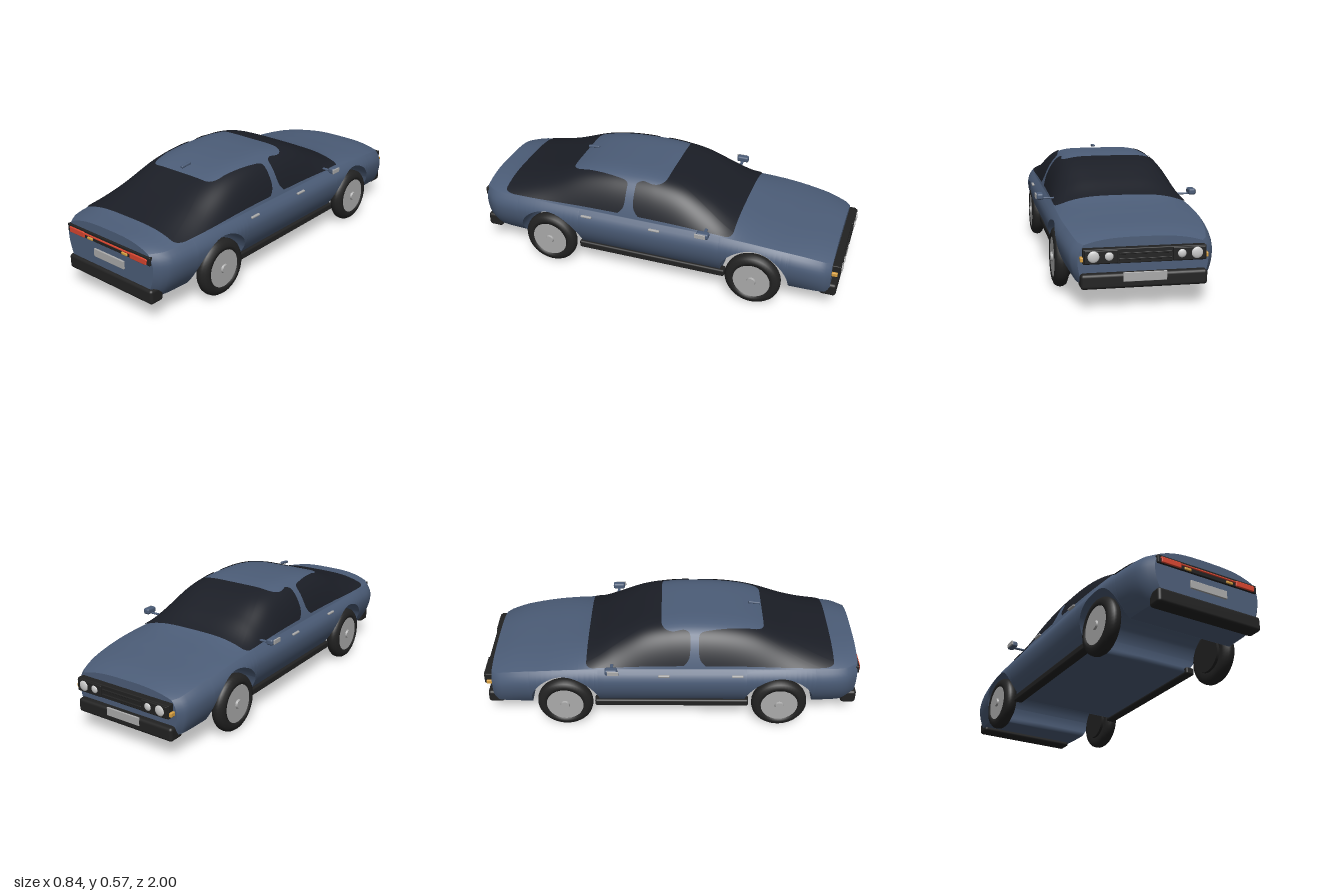
import * as THREE from 'three';
import { RoundedBoxGeometry } from 'three/addons/geometries/RoundedBoxGeometry.js';

const mat = (color, side = THREE.FrontSide) =>
  new THREE.MeshStandardMaterial({ color, side });
const PAINT = mat(0x4c5d78, THREE.DoubleSide), GLASS = mat(0x1b1e26, THREE.DoubleSide);
const BLACK = mat(0x222222), RED = mat(0xd8452f), AMBER = mat(0xd9a03f), GREY = mat(0xaaaaaa), LAMP = mat(0xe8e8e8);

// Smooth interpolation through [z, value] pairs
function curve(pts) {
  const slope = i => {
    const a = pts[Math.max(i - 1, 0)], b = pts[Math.min(i + 1, pts.length - 1)];
    return (b[1] - a[1]) / (b[0] - a[0]);
  };
  return z => {
    let i = 0;
    while (i < pts.length - 2 && z > pts[i + 1][0]) i++;
    const [z0, a] = pts[i], [z1, b] = pts[i + 1], h = z1 - z0;
    const t = Math.min(1, Math.max(0, (z - z0) / h)), t2 = t * t, t3 = t2 * t;
    return a * (2 * t3 - 3 * t2 + 1) + b * (3 * t2 - 2 * t3)
      + h * (slope(i) * (t3 - 2 * t2 + t) + slope(i + 1) * (t3 - t2));
  };
}

// Body lines along the length: centre height, shoulder height, half width
const topY = curve([[-0.95, 0.325], [-0.85, 0.35], [-0.65, 0.375], [-0.45, 0.41], [-0.3, 0.48], [-0.15, 0.54],
  [0, 0.565], [0.12, 0.57], [0.3, 0.562], [0.45, 0.535], [0.65, 0.465], [0.85, 0.41], [0.98, 0.395]]);
const beltY = curve([[-0.95, 0.295], [-0.8, 0.33], [-0.5, 0.36], [0, 0.365], [0.6, 0.368], [0.98, 0.355]]);
const halfW = curve([[-0.95, 0.3], [-0.92, 0.325], [-0.8, 0.352], [-0.6, 0.37], [0, 0.373],
  [0.6, 0.375], [0.8, 0.362], [0.92, 0.34], [0.98, 0.295]]);
const AXLES = [-0.56, 0.575], ARCH = 0.18, WHEEL_Y = 0.147;

function floorY(z) {
  for (const c of AXLES) {
    const d = Math.abs(z - c);
    if (d < ARCH + 0.0005) return WHEEL_Y + Math.sqrt(Math.max(0, ARCH * ARCH - d * d));
  }
  return 0.12;
}
function sideX(y, z) {
  const d = beltY(z) - 0.07 - y;
  return halfW(z) * (1 - (d < 0 ? 0.093 * (d / 0.07) ** 2 : 0.2 * (d / 0.17) ** 2));
}
// Point on the upper surface, u = -1..1 between the shoulders
function upper(u, z, lift = 0) {
  const b = beltY(z), rise = topY(z) - b;
  const p = 2.5 + 3.5 * Math.min(1, rise / 0.2);
  const x = u * sideX(b, z);
  return [x + lift * u ** 3, b + rise * (1 - Math.abs(u) ** p) + lift, z];
}

// Surface from rows of points
function skin(rows) {
  const n = rows[0].length, idx = [];
  for (let i = 0; i < rows.length - 1; i++)
    for (let j = 0; j < n - 1; j++) {
      const a = i * n + j, b = a + n;
      idx.push(a, b, a + 1, b, b + 1, a + 1);
    }
  const g = new THREE.BufferGeometry();
  g.setAttribute('position', new THREE.Float32BufferAttribute(rows.flat(2), 3));
  g.setIndex(idx);
  g.computeVertexNormals();
  return g;
}

// Half outline from the sill up to the shoulder, then over the top to the other sill
function section(z) {
  const b = beltY(z), f = floorY(z), pts = [], NS = 12, NT = 40;
  const side = s => {
    const out = [];
    for (let i = 0; i < NS; i++) {
      const y = f + (b - f) * i / NS;
      out.push([s * sideX(y, z), y, z]);
    }
    return out;
  };
  pts.push(...side(-1));
  for (let i = 0; i <= NT; i++) pts.push(upper(Math.sin((i / NT - 0.5) * Math.PI), z));
  pts.push(...side(1).reverse());
  return pts;
}

// Wrap-round glass between an outer and an inner U-shaped line, in (u, z)
function wrapGlass(zPillar, zEnd, cornerZ, inner) {
  const dir = Math.sign(zEnd - zPillar);
  const U = (u0, u1, z0, z1, z2, cu) => {
    const path = new THREE.Path().moveTo(u0, z0);
    path.lineTo(u1, z1).quadraticCurveTo(u1, z2, cu, z2).lineTo(-cu, z2)
      .quadraticCurveTo(-u1, z2, -u1, z1).lineTo(-u0, z0);
    const N = 20, pts = [];
    path.curves.forEach((c, k) => {
      for (let i = k ? 1 : 0; i <= N; i++) pts.push(c.getPoint(i / N));
    });
    return pts;
  };
  const o = U(0.985, 0.985, zPillar, cornerZ, zEnd, 0.88);
  const n = U(...inner);
  const rows = o.map((p, i) => {
    const row = [], end = Math.max(0, 1 - Math.min(i, o.length - 1 - i) / 20);
    for (let k = 0; k <= 20; k++) {
      const f = k / 20;
      const q = p.clone().lerp(n[i], f);
      // rounded corners beside the pillar
      row.push(upper(q.x, q.y + dir * end * 0.035 * (2 * f - 1) ** 6, 0.004));
    }
    return row;
  });
  return skin(rows);
}

export function createModel() {
  const car = new THREE.Group();
  const add = (name, geo, m, x = 0, y = 0, z = 0, parent = car) => {
    const mesh = new THREE.Mesh(geo, m);
    mesh.name = name;
    mesh.position.set(x, y, z);
    parent.add(mesh);
    return mesh;
  };
  const box = (name, w, h, d, m, x, y, z, r = 0.004) =>
    add(name, new RoundedBoxGeometry(w, h, d, 3, r), m, x, y, z);

  // Body shell, underside with wheel arches, and end panels
  const zs = [];
  for (let i = 0; i <= 70; i++) zs.push(-0.95 + 1.93 * i / 70);
  for (const c of AXLES) {
    for (let i = 0; i <= 28; i++) zs.push(c + ARCH * Math.cos(i * Math.PI / 28));
    zs.push(c - ARCH - 0.001, c + ARCH + 0.001);
  }
  zs.sort((a, b) => a - b);
  const rows = zs.map(section);
  add('bodyShell', skin(rows), PAINT);
  add('underside', skin(rows.map(r => {
    const [x, y, z] = r[r.length - 1];
    return [[x, y, z], [0, y, z], [-x, y, z]];
  })), PAINT);
  for (const [name, r] of [['nosePanel', rows[0]], ['tailPanel', rows[rows.length - 1]]]) {
    const loop = [...r, r[0]];
    const hub = loop.map(p => [0, 0.25, p[2]]);
    add(name, skin(name === 'nosePanel' ? [loop, hub] : [hub, loop]), PAINT);
  }

  // Windscreen and rear window, each running into the side windows
  add('frontGlass', wrapGlass(0.1, -0.44, -0.4, [0.7, 0.72, 0.1, 0.02, -0.05, 0.5]), GLASS);
  add('rearGlass', wrapGlass(0.145, 0.85, 0.78, [0.72, 0.62, 0.145, 0.4, 0.485, 0.46]), GLASS);

  // Bumpers
  box('rearBumper', 0.58, 0.075, 0.08, BLACK, 0, 0.138, 0.955, 0.015);
  box('frontBumper', 0.58, 0.07, 0.085, BLACK, 0, 0.132, -0.94, 0.015);

  // Tail panel
  box('tailLampPanel', 0.57, 0.042, 0.02, BLACK, 0, 0.324, 0.98);
  box('tailLampStrip', 0.54, 0.009, 0.016, RED, 0, 0.328, 0.988, 0.003);
  box('rearPlate', 0.207, 0.042, 0.012, GREY, 0, 0.244, 0.983, 0.002);
  // Nose
  box('grille', 0.56, 0.068, 0.045, BLACK, 0, 0.248, -0.962);
  for (const dy of [-0.014, 0.012]) box('grilleBar', 0.24, 0.008, 0.012, BLACK, 0, 0.248 + dy, -0.985, 0.002);
  box('frontPlate', 0.2, 0.042, 0.01, GREY, 0, 0.15, -0.981, 0.002);
  // Roof aerial
  box('aerial', 0.016, 0.014, 0.065, PAINT, 0, 0.556, 0.445, 0.005).rotation.x = 0.1;

  // Tyre and wheel profiles
  const tyre = new THREE.LatheGeometry([[0.09, -0.033], [0.115, -0.036], [0.135, -0.028], [0.145, -0.014],
    [0.147, 0], [0.145, 0.014], [0.135, 0.028], [0.115, 0.036], [0.098, 0.033], [0.096, 0.02]]
    .map(p => new THREE.Vector2(...p)), 48);
  for (const s of [-1, 1]) {
    box('tailLamp', 0.108, 0.03, 0.016, RED, s * 0.212, 0.32, 0.989);
    box('rearIndicator', 0.038, 0.014, 0.014, AMBER, s * 0.12, 0.313, 0.989);
    box('lampHousing', 0.15, 0.06, 0.03, BLACK, s * 0.2, 0.248, -0.978);
    box('frontIndicator', 0.02, 0.022, 0.03, AMBER, s * 0.282, 0.235, -0.965);
    for (const [x, r] of [[0.235, 0.027], [0.165, 0.02]]) {
      const lens = add('headlamp', new THREE.SphereGeometry(r, 24, 12), LAMP, s * x, 0.25, -0.991);
      lens.scale.z = 0.009 / r;
    }
    // Sills and door furniture
    box('sill', 0.05, 0.04, 0.82, BLACK, s * 0.305, 0.126, 0.005, 0.01);
    for (const z of [0.345, -0.035]) box('doorHandle', 0.014, 0.011, 0.06, GREY, s * 0.373, 0.348, z);
    box('mirrorStalk', 0.07, 0.008, 0.016, PAINT, s * 0.36, 0.388, -0.305, 0.003);
    box('mirrorShell', 0.036, 0.032, 0.065, PAINT, s * 0.398, 0.4, -0.305, 0.01);
    box('mirrorFace', 0.008, 0.024, 0.058, GREY, s * 0.417, 0.4, -0.295, 0.002);

    for (const z of AXLES) {
      const wheel = new THREE.Group();
      wheel.name = 'wheel';
      wheel.position.set(s * 0.334, WHEEL_Y, z);
      wheel.rotation.z = -s * Math.PI / 2;
      car.add(wheel);
      add('tyre', tyre, BLACK, 0, 0, 0, wheel);
      add('rim', new THREE.CylinderGeometry(0.097, 0.1, 0.02, 40), GREY, 0, 0.022, 0, wheel);
      add('hubCap', new THREE.CylinderGeometry(0.021, 0.025, 0.012, 24), GREY, 0, 0.036, 0, wheel);
      add('innerDrum', new THREE.CylinderGeometry(0.092, 0.092, 0.05, 40), BLACK, 0, -0.024, 0, wheel);
    }
  }
  return car;
}
